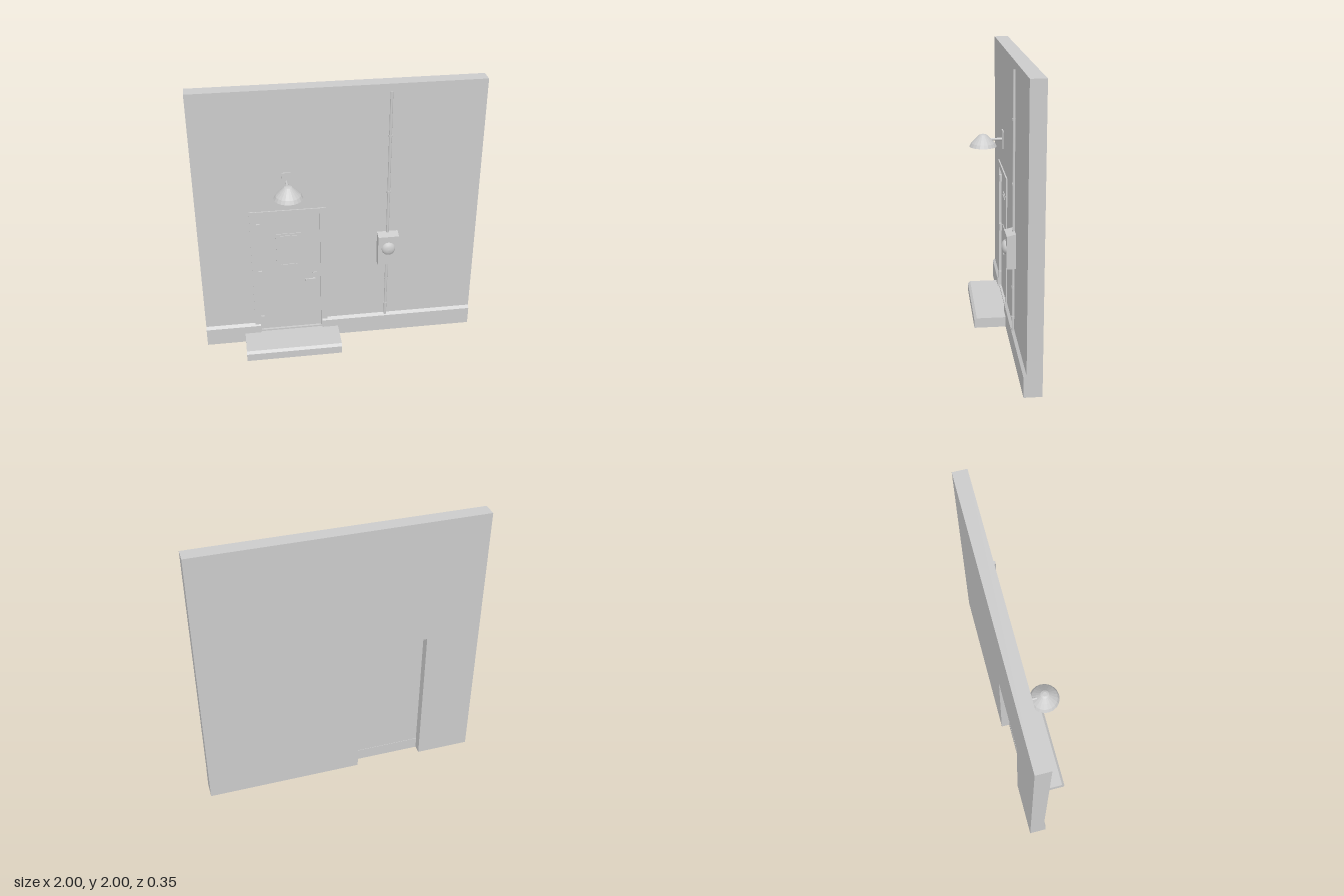
import * as THREE from 'three';

const BACK = -0.175, FACE = -0.073; // wall planes in z

export function createModel() {
  const model = new THREE.Group();
  const mat = new THREE.MeshStandardMaterial({ color: 0xcccccc });
  const flat = new THREE.MeshStandardMaterial({ color: 0xcccccc, flatShading: true, side: THREE.DoubleSide });

  const add = (name, geo, x = 0, y = 0, z = 0, m = mat) => {
    const mesh = new THREE.Mesh(geo, m);
    mesh.name = name;
    mesh.position.set(x, y, z);
    model.add(mesh);
    return mesh;
  };
  // box given by its limits
  const box = (name, x0, x1, y0, y1, z0, z1) =>
    add(name, new THREE.BoxGeometry(x1 - x0, y1 - y0, z1 - z0), (x0 + x1) / 2, (y0 + y1) / 2, (z0 + z1) / 2);
  const shapeOf = pts => new THREE.Shape(pts.map(p => new THREE.Vector2(...p)));
  // (z, y) profile swept along x
  const sweep = (name, x0, x1, pts) => {
    const geo = new THREE.ExtrudeGeometry(shapeOf(pts), { depth: x1 - x0, bevelEnabled: false });
    add(name, geo, x1).rotation.y = -Math.PI / 2;
  };
  const lathe = (pts, sides) => new THREE.LatheGeometry(pts.map(p => new THREE.Vector2(...p)), sides);

  // wall with a doorway open down to the ground
  const wall = shapeOf([[-1, 0], [-0.61, 0], [-0.61, 1.08], [-0.12, 1.08], [-0.12, 0], [1, 0], [1, 2], [-1, 2]]);
  add('wall', new THREE.ExtrudeGeometry(wall, { depth: FACE - BACK, bevelEnabled: false }), 0, 0, BACK);

  // chamfered baseboard either side of the door
  for (const [x0, x1] of [[-1, -0.597], [-0.133, 1]])
    sweep('baseboard', x0, x1, [[FACE, 0], [-0.055, 0], [-0.055, 0.135], [FACE, 0.155]]);

  // front step and threshold
  sweep('step', -0.715, -0.015, [[FACE, 0], [0.175, 0], [0.175, 0.058], [0.157, 0.075], [FACE, 0.075]]);
  box('threshold', -0.61, -0.12, 0, 0.088, -0.115, -0.068);

  // door frame
  box('frameJamb', -0.635, -0.59, 0, 1.11, FACE, -0.064);
  box('frameJamb', -0.14, -0.095, 0, 1.11, FACE, -0.064);
  box('frameHeader', -0.59, -0.14, 1.065, 1.108, FACE, -0.064);
  box('innerJamb', -0.61, -0.59, 0, 1.08, -0.11, FACE);
  box('innerJamb', -0.14, -0.12, 0, 1.08, -0.11, FACE);
  box('innerHeader', -0.59, -0.14, 1.065, 1.08, -0.11, FACE);

  // door leaf, hinges, panel and lever
  box('door', -0.59, -0.14, 0.088, 1.065, -0.112, -0.084);
  for (const y of [0.155, 0.555, 0.95]) box('hinge', -0.59, -0.565, y, y + 0.055, -0.084, -0.068);
  box('doorPanel', -0.455, -0.275, 0.63, 0.91, -0.084, -0.079);
  for (const y of [0.645, 0.885]) box('panelRail', -0.425, -0.305, y, y + 0.01, -0.079, -0.074);
  box('handlePlate', -0.2, -0.165, 0.49, 0.565, -0.084, -0.077);
  box('handleStem', -0.195, -0.18, 0.507, 0.523, -0.077, -0.058);
  box('handleLever', -0.255, -0.18, 0.505, 0.525, -0.064, -0.053);

  // wall lamp
  const lx = -0.366, lz = 0.075;
  box('lampPlate', lx - 0.03, lx + 0.03, 1.265, 1.4, FACE, -0.064);
  add('lampArm', new THREE.CylinderGeometry(0.01, 0.01, 0.11, 12), lx, 1.333, -0.013).rotation.x = Math.PI / 2;
  add('lampShade', lathe([[0.1, 1.283], [0.087, 1.308], [0.058, 1.338], [0.028, 1.367], [0.015, 1.372], [0, 1.372]], 20), lx, 0, lz, flat);
  add('lampBulb', lathe([[0, 1.262], [0.03, 1.264], [0.045, 1.278], [0.045, 1.3], [0, 1.32]], 20), lx, 0, lz);

  // conduit with collars
  const cx = 0.347, cz = -0.067;
  add('conduit', new THREE.CylinderGeometry(0.01, 0.01, 1.805, 12), cx, 1.0475, cz);
  for (const y of [0.245, 0.47, 1.2, 1.63])
    add('conduitCollar', new THREE.CylinderGeometry(0.014, 0.014, 0.014, 12), cx, y, cz);

  // switch box with sloping top and domed button
  sweep('switchBox', 0.272, 0.422, [[FACE, 0.63], [-0.012, 0.63], [-0.012, 0.86], [FACE, 0.876]]);
  const dome = lathe([[0.05, 0], [0.047, 0.009], [0.037, 0.019], [0.02, 0.025], [0, 0.027]], 20);
  add('domeButton', dome, cx, 0.764, -0.012).rotation.x = Math.PI / 2;

  return model;
}
